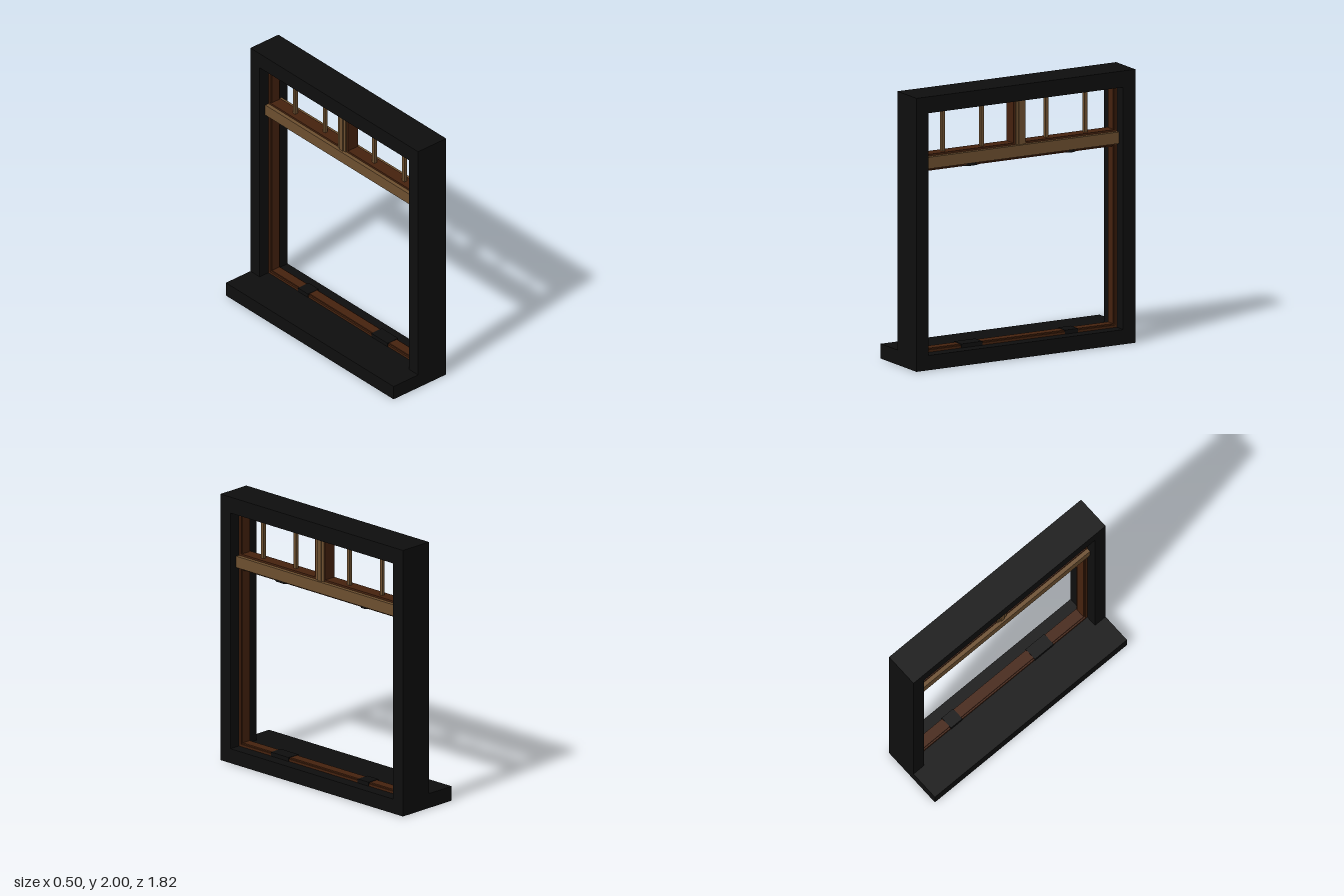
import * as THREE from 'three';

export function createModel() {
  const model = new THREE.Group();
  model.name = 'windowFrame';

  const material = (name, color) => {
    const m = new THREE.MeshStandardMaterial({ color });
    m.name = name;
    return m;
  };
  const black = material('blackSurround', 0x0e0e0e);
  const brown = material('darkBrownWood', 0x45220e);
  const tan = material('tanWood', 0x6c4f2f);

  // Box given by its lower and upper limits on each axis
  const block = (name, mat, [x0, x1], [y0, y1], [z0, z1]) => {
    const mesh = new THREE.Mesh(new THREE.BoxGeometry(x1 - x0, y1 - y0, z1 - z0), mat);
    mesh.position.set((x0 + x1) / 2, (y0 + y1) / 2, (z0 + z1) / 2);
    mesh.name = name;
    model.add(mesh);
    return mesh;
  };

  const wall = [-0.018, 0.247];
  const sash = [0.065, 0.16];
  const stop = [0.077, 0.148];

  // Outer surround with a deep sill
  block('sill', black, [-0.25, 0.247], [0, 0.108], [-0.908, 0.908]);
  block('header', black, wall, [1.88, 2], [-0.908, 0.908]);
  for (const s of [-1, 1]) {
    block('sidePost', black, wall, [0.108, 1.88], s < 0 ? [-0.908, -0.808] : [0.808, 0.908]);
  }

  // Stepped wooden lining on both sides
  for (const s of [-1, 1]) {
    const span = (a, b) => [a * s, b * s].sort((p, q) => p - q);
    block('jambLining', brown, sash, [0.108, 1.88], span(0.79, 0.808));
    block('jambStop', brown, stop, [0.13, 1.87], span(0.783, 0.79));
  }

  // Horizontal linings: base layer and a narrower raised stop
  const rail = (name, y, dir) => {
    const span = (a, b) => [y + a * dir, y + b * dir].sort((p, q) => p - q);
    block(name, brown, sash, span(0, 0.018), [-0.79, 0.79]);
    block(name + 'Stop', brown, stop, span(0.018, 0.027), [-0.783, 0.783]);
  };
  rail('bottomRail', 0.108, 1);
  rail('underBeamRail', 1.46, -1);
  block('upperSashBottomRail', brown, sash, [1.54, 1.556], [-0.79, 0.79]);
  block('upperSashTopRail', brown, sash, [1.864, 1.88], [-0.79, 0.79]);

  // Cross beam between the lower opening and the upper lights
  block('crossBeam', tan, [0.035, 0.19], [1.457, 1.542], [-0.808, 0.808]);

  // Centre mullion with lining on either side
  block('mullion', tan, [0.058, 0.167], [1.54, 1.88], [-0.044, 0.036]);
  block('mullionBead', tan, [0.05, 0.175], [1.54, 1.88], [-0.022, 0.014]);
  block('mullionLining', brown, sash, [1.556, 1.864], [0.036, 0.052]);
  block('mullionLining', brown, sash, [1.556, 1.864], [-0.05, -0.044]);

  // Thin upright glazing bars
  for (const z of [0.612, 0.288, -0.247, -0.571]) {
    block('glazingBar', tan, [0.1, 0.125], [1.55, 1.87], [z - 0.0125, z + 0.0125]);
  }

  // Black hardware set into the bottom rail and under the beam
  for (const [z0, z1] of [[0.31, 0.486], [-0.484, -0.376]]) {
    block('bottomCatch', black, [0.062, 0.163], [0.108, 0.138], [z0, z1]);
    const shape = new THREE.CylinderGeometry(0.5, 0.5, 0.028, 8);
    shape.rotateY(Math.PI / 8);
    const catchMesh = new THREE.Mesh(shape, black);
    catchMesh.scale.set(0.11, 1, (z1 - z0) * 1.08);
    catchMesh.position.set(0.1125, 1.446, (z0 + z1) / 2);
    catchMesh.name = 'beamCatch';
    model.add(catchMesh);
  }

  return model;
}
